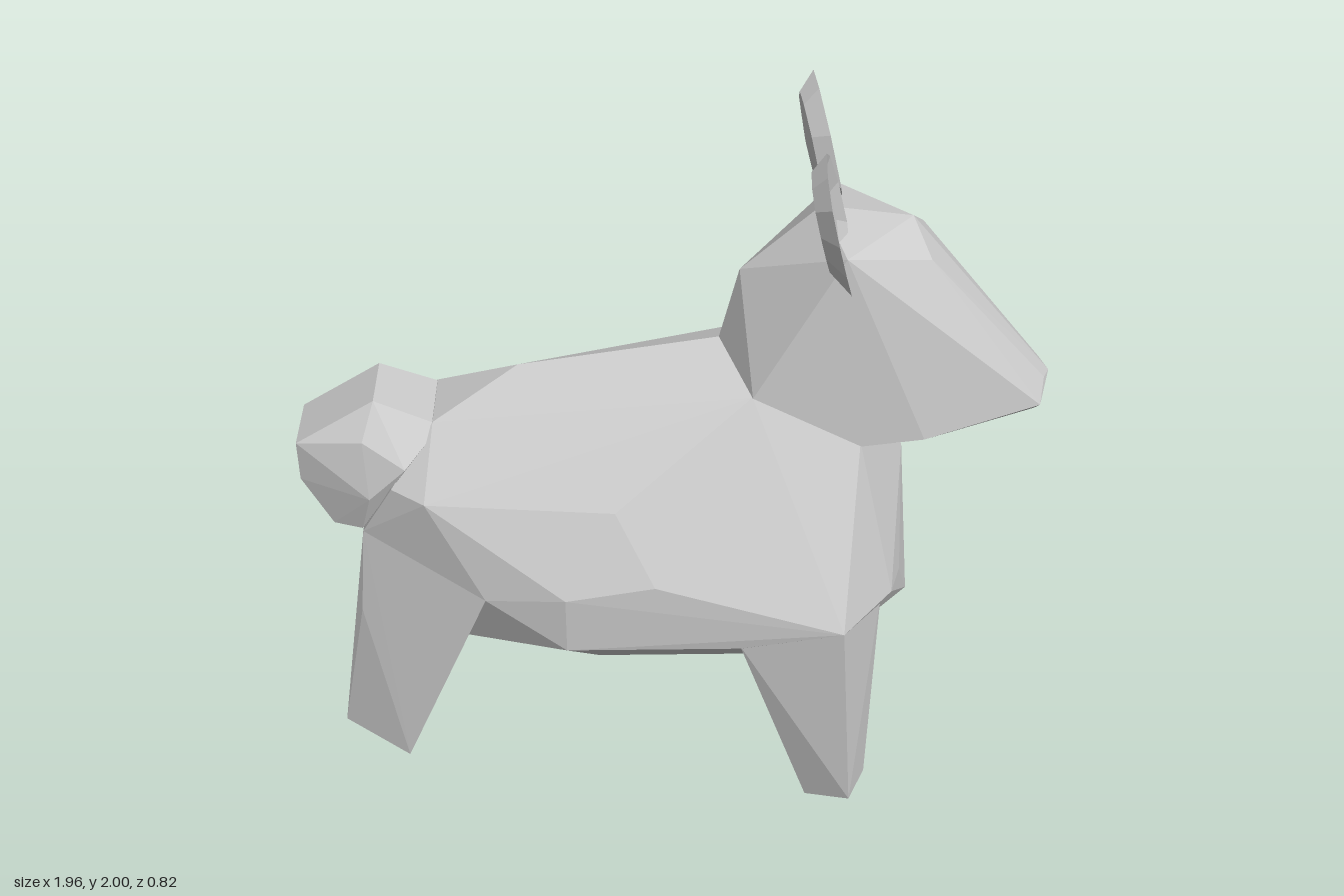
import * as THREE from 'three';
import { ConvexGeometry } from 'three/addons/geometries/ConvexGeometry.js';

const material = new THREE.MeshStandardMaterial({ color: 0xcccccc, flatShading: true });

// Faceted solid around a few corner points
function facetMesh(name, points) {
  const mesh = new THREE.Mesh(new ConvexGeometry(points.map((p) => new THREE.Vector3(...p))), material);
  mesh.name = name;
  return mesh;
}

// Adds the opposite-side copy of every off-centre point
const mirrored = (points) => points.flatMap(([x, y, z]) => (z ? [[x, y, z], [x, y, -z]] : [[x, y, 0]]));

// Dished ear: front centre, inset ring, rim, back ring, back centre
function earMesh(name, side) {
  const rim = [[1.60, 0.205], [1.67, 0.235], [1.77, 0.265], [1.88, 0.285], [1.96, 0.27], [2.0, 0.225],
    [1.97, 0.18], [1.87, 0.12], [1.74, 0.085], [1.64, 0.13]];
  const n = rim.length, cy = 1.82, cz = 0.19;
  const layers = [[0.05, -0.03], [0.7, -0.02], [1, 0], [0.7, -0.045], [0.05, -0.055]];
  const positions = [], index = [];
  for (const [s, dx] of layers) {
    for (const [ry, rz] of rim) {
      const y = cy + (ry - cy) * s, z = cz + (rz - cz) * s;
      positions.push(0.435 - (y - 1.61) * 0.19 + (0.19 - z) * 0.15 + dx, y, z * side);
    }
  }
  const tri = (a, b, c) => (side > 0 ? index.push(a, c, b) : index.push(a, b, c));
  for (let l = 0; l < layers.length - 1; l++) {
    for (let i = 0; i < n; i++) {
      const a = l * n + i, b = l * n + (i + 1) % n;
      tri(a, b, b + n);
      tri(a, b + n, a + n);
    }
  }
  const last = (layers.length - 1) * n;
  for (let i = 1; i < n - 1; i++) {
    tri(0, i + 1, i);
    tri(last, last + i, last + i + 1);
  }
  const indexed = new THREE.BufferGeometry();
  indexed.setAttribute('position', new THREE.Float32BufferAttribute(positions, 3));
  indexed.setIndex(index);
  const geometry = indexed.toNonIndexed();
  geometry.computeVertexNormals();
  const earMaterial = material.clone();
  earMaterial.side = THREE.DoubleSide;
  const mesh = new THREE.Mesh(geometry, earMaterial);
  mesh.name = name;
  return mesh;
}

export function createModel() {
  const model = new THREE.Group();
  model.name = 'animal';

  // Barrel body with chest and rump
  model.add(facetMesh('body', mirrored([
    [0.12, 1.36, 0], [0.2, 1.29, 0.18], [0.14, 1.25, 0.19], [-0.4, 1.28, 0], [-0.62, 1.17, 0.1],
    [-0.64, 1.02, 0.26], [-0.73, 1.02, 0.19], [-0.15, 1.04, 0.33], [-0.05, 0.86, 0.41],
    [-0.28, 0.82, 0.41], [-0.28, 0.65, 0.4], [0.17, 0.65, 0.4], [0.44, 0.7, 0.41],
    [-0.49, 0.77, 0.34], [-0.82, 0.85, 0.14], [-0.83, 0.64, 0.06], [-0.56, 0.56, 0.22],
    [-0.2, 0.48, 0.22], [0.22, 0.48, 0.22], [0.65, 0.53, 0], [0.61, 0.7, 0.13],
    [0.58, 0.7, 0.23], [0.61, 1.02, 0], [0.48, 1.15, 0.18],
  ])));

  // Wedge head: narrow nape, flat cheeks, bevelled brow and a pointed snout
  model.add(facetMesh('head', mirrored([
    [0.12, 1.36, 0], [0.2, 1.3, 0.2], [0.17, 1.56, 0], [0.37, 1.74, 0],
    [0.42, 1.7, 0.2], [0.6, 1.71, 0], [0.64, 1.64, 0.1], [0.98, 1.25, 0],
    [0.96, 1.26, 0.05], [0.94, 1.23, 0.135], [0.94, 1.17, 0.06], [0.8, 1.13, 0],
    [0.64, 1.17, 0.2], [0.48, 1.15, 0.2], [0.48, 1.115, 0],
  ])));

  // Bobbed tail
  model.add(facetMesh('tail', mirrored([
    [-0.6, 1.16, 0.1], [-0.77, 1.23, 0.09], [-0.98, 1.1, 0.09], [-0.98, 0.98, 0.08],
    [-0.9, 0.85, 0.1], [-0.82, 0.86, 0.14], [-0.69, 1.08, 0.19], [-0.8, 1.14, 0.15],
    [-0.79, 0.98, 0.18],
  ])));

  for (const side of [1, -1]) {
    const label = side > 0 ? 'Left' : 'Right';
    const place = (points) => points.map(([x, y, z]) => [x, y, z * side]);

    // Three-sided front leg
    model.add(facetMesh('front' + label + 'Leg', place([
      [0.17, 0.66, 0.4], [0.44, 0.7, 0.41], [0.55, 0.7, 0.245],
      [0.37, 0.0, 0.265], [0.49, 0.02, 0.31], [0.54, 0.03, 0.205],
    ])));

    // Hind leg, with the right foot set slightly wider
    const [dx, dy, dz] = side > 0 ? [0, 0, 0] : [0.035, 0.02, 0.065];
    const foot = [[-0.92, 0.18, 0.13], [-0.73, 0.18, 0.28], [-0.71, 0.2, 0.22], [-0.78, 0.16, 0.13]]
      .map(([x, y, z]) => [x + dx, y + dy, z + dz]);
    model.add(facetMesh('hind' + label + 'Leg', place([
      [-0.82, 0.85, 0.14], [-0.84, 0.6, 0.16], [-0.49, 0.77, 0.34], [-0.56, 0.56, 0.22],
      [-0.74, 0.62, 0.13], ...foot,
    ])));

    model.add(earMesh('ear' + label, side));
  }
  return model;
}
